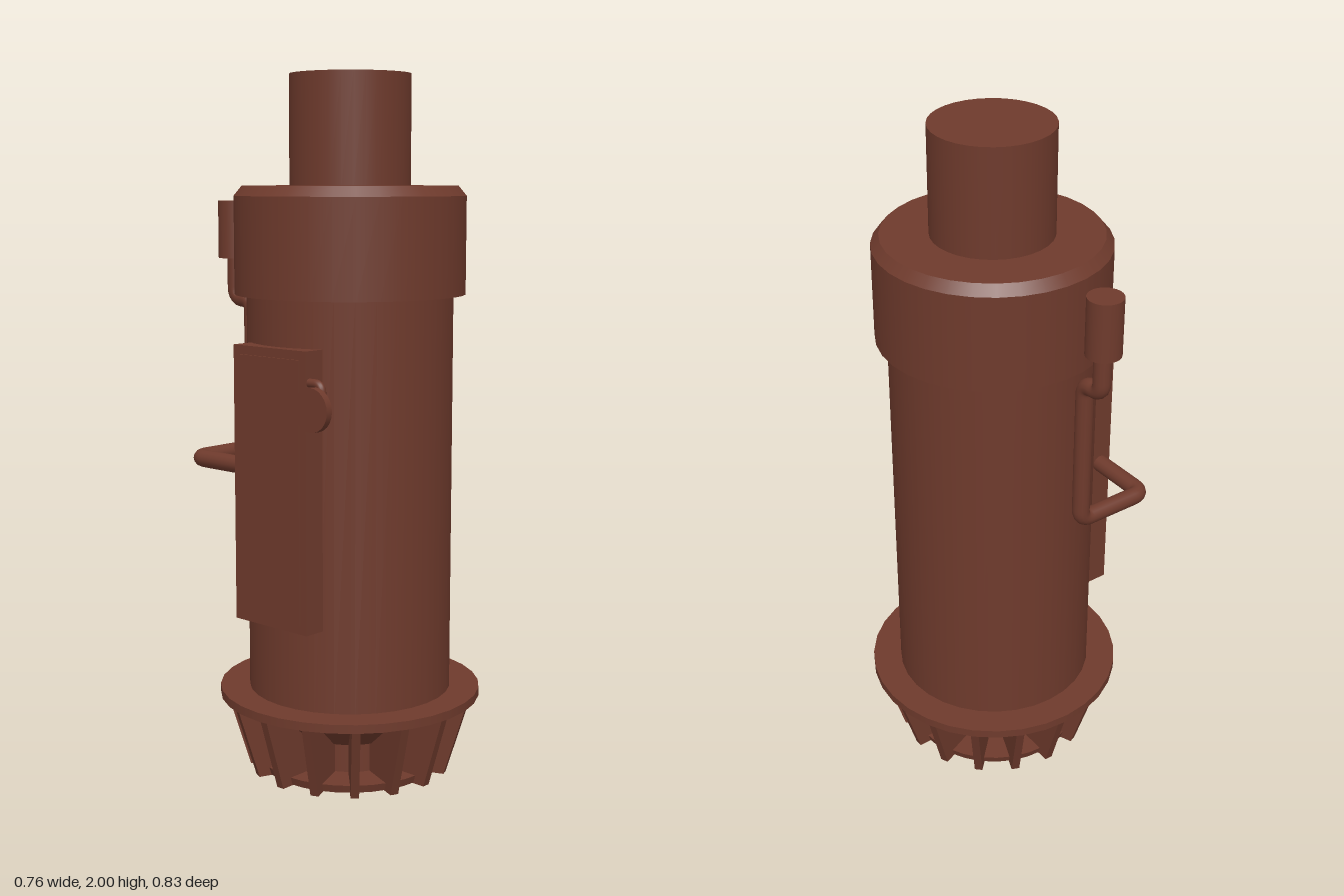
import * as THREE from 'three';

export function createModel() {
  const model = new THREE.Group();
  const rust = new THREE.MeshStandardMaterial({ color: 0x6e3a2c });
  rust.name = 'rust brown';

  const add = (name, geometry, x, y, z, parent = model) => {
    const mesh = new THREE.Mesh(geometry, rust);
    mesh.name = name;
    mesh.position.set(x, y, z);
    parent.add(mesh);
    return mesh;
  };

  // Upright drum between two heights
  const axisZ = 0.035;
  const drum = (name, rTop, rBottom, y0, y1, x = 0, z = axisZ, sides = 32) =>
    add(name, new THREE.CylinderGeometry(rTop, rBottom, y1 - y0, sides), x, (y0 + y1) / 2, z);

  // Tube along straight runs with rounded corners
  const bentPipe = (name, points, radius, bend) => {
    const p = points.map((a) => new THREE.Vector3(...a));
    const path = new THREE.CurvePath();
    let from = p[0];
    for (let i = 1; i < p.length - 1; i++) {
      const before = p[i].clone().add(p[i - 1].clone().sub(p[i]).setLength(bend));
      const after = p[i].clone().add(p[i + 1].clone().sub(p[i]).setLength(bend));
      path.add(new THREE.LineCurve3(from, before));
      path.add(new THREE.QuadraticBezierCurve3(before, p[i], after));
      from = after;
    }
    path.add(new THREE.LineCurve3(from, p[p.length - 1]));
    return add(name, new THREE.TubeGeometry(path, 120, radius, 14), 0, 0, 0);
  };

  // Main column
  drum('body', 0.294, 0.294, 0.22, 1.42);
  drum('collar', 0.328, 0.328, 1.39, 1.665);
  drum('collarChamfer', 0.305, 0.328, 1.665, 1.693);
  drum('topPipe', 0.171, 0.171, 1.68, 2);

  // Finned base
  drum('flange', 0.38, 0.38, 0.22, 0.245);
  drum('baseFunnel', 0.32, 0.17, 0.11, 0.222);
  drum('baseCore', 0.16, 0.16, 0.01, 0.12);
  drum('bottomPlate', 0.265, 0.258, 0.002, 0.025);
  const finShape = new THREE.Shape([
    [0.14, 0], [0.294, 0], [0.362, 0.222], [0.14, 0.222],
  ].map(([x, y]) => new THREE.Vector2(x, y)));
  const finGeometry = new THREE.ExtrudeGeometry(finShape, { depth: 0.024, bevelEnabled: false });
  finGeometry.translate(0, 0, -0.012);
  const fins = new THREE.Group();
  fins.name = 'baseFins';
  fins.position.z = axisZ;
  model.add(fins);
  const finCount = 16;
  for (let i = 0; i < finCount; i++) {
    add('fin', finGeometry, 0, 0, 0, fins).rotation.y = (i / finCount) * Math.PI * 2;
  }

  // Side cabinet with a framed door
  add('cabinet', new THREE.BoxGeometry(0.085, 0.78, 0.275), -0.2825, 0.87, 0.0325);
  add('cabinetDoor', new THREE.BoxGeometry(0.006, 0.73, 0.23), -0.327, 0.87, 0.0325);

  // Grab handle and hand wheel
  bentPipe('handle', [
    [-0.31, 1.175, 0.16], [-0.31, 1.175, 0.215], [-0.31, 1.06, 0.215], [-0.31, 1.06, 0.16],
  ], 0.012, 0.025);
  add('wheelStem', new THREE.CylinderGeometry(0.012, 0.012, 0.05, 14), -0.317, 1.11, 0.215)
    .rotation.z = Math.PI / 2;
  add('handWheel', new THREE.CylinderGeometry(0.06, 0.06, 0.02, 24), -0.345, 1.11, 0.215)
    .rotation.z = Math.PI / 2;

  // Vent line from the cabinet up to its can
  bentPipe('ventPipe', [
    [-0.065, 1.5, -0.365], [-0.065, 1.36, -0.365], [-0.065, 1.36, -0.296],
    [-0.065, 0.915, -0.296], [-0.29, 0.915, -0.296], [-0.29, 0.915, -0.1],
  ], 0.025, 0.034);
  drum('ventCan', 0.05, 0.05, 1.48, 1.648, -0.065, -0.366, 24);

  return model;
}
